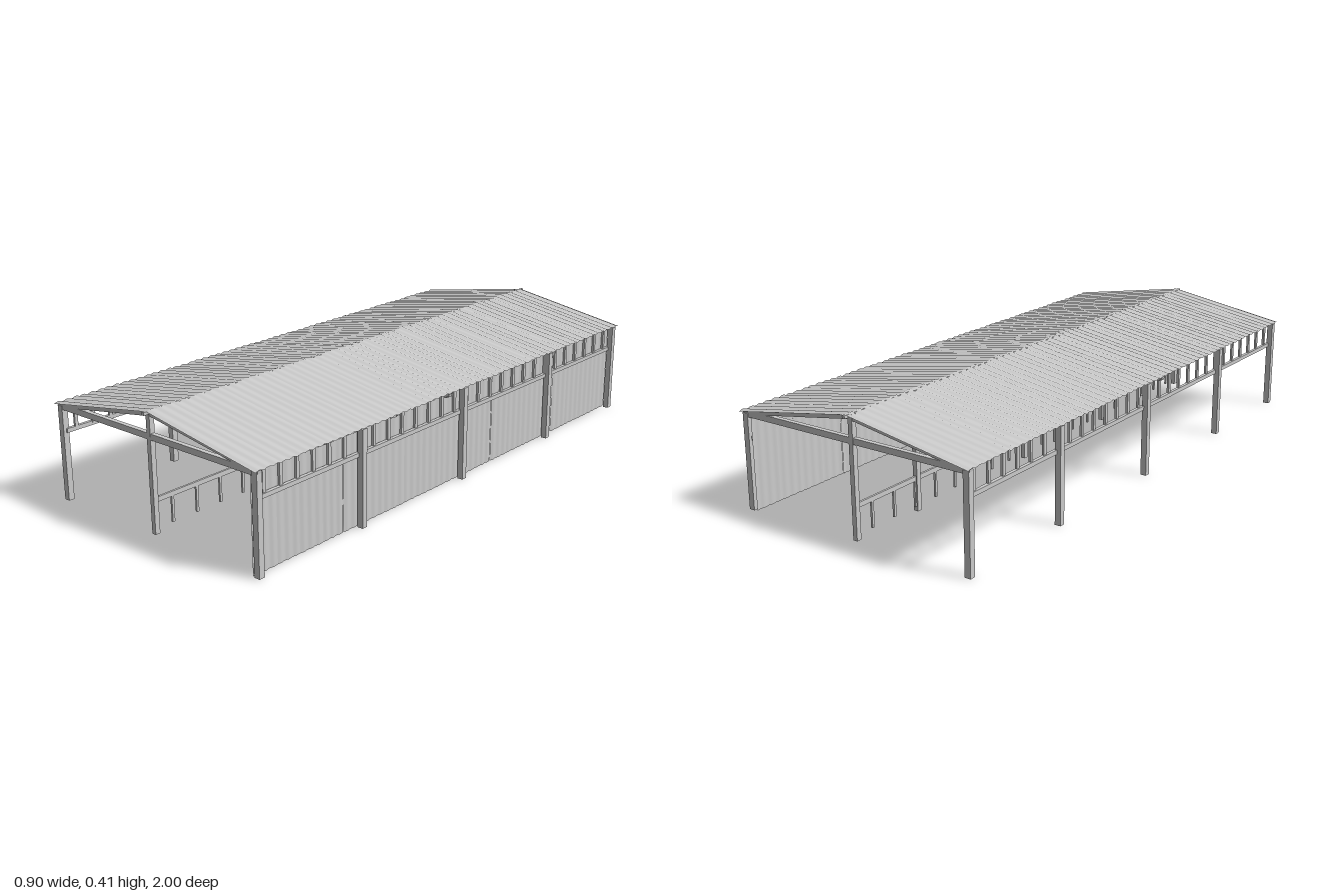
import * as THREE from 'three';

const material = new THREE.MeshStandardMaterial({ color: 0xcccccc, flatShading: true });
const sheetMaterial = new THREE.MeshStandardMaterial({ color: 0xcccccc, side: THREE.DoubleSide });

// Small repeatable number in -1..1 for uneven sheets
const vary = (i) => {
  const s = Math.sin(i * 12.9898 + 4.1) * 43758.5453;
  return (s - Math.floor(s)) * 2 - 1;
};

function box(parent, name, w, h, d, x, y, z) {
  const mesh = new THREE.Mesh(new THREE.BoxGeometry(w, h, d), material);
  mesh.name = name;
  mesh.position.set(x, y, z);
  parent.add(mesh);
  return mesh;
}

// Square timber between two points of one x-y plane
function timber(parent, name, [x0, y0], [x1, y1], z, height, depth) {
  const mesh = box(parent, name, Math.hypot(x1 - x0, y1 - y0), height, depth, (x0 + x1) / 2, (y0 + y1) / 2, z);
  mesh.rotation.z = Math.atan2(y1 - y0, x1 - x0);
  return mesh;
}

// Corrugated sheet: length along x, width along z, waves in y
function sheet(name, length, width, waves, depth) {
  const geometry = new THREE.PlaneGeometry(length, width, 1, waves * 8);
  geometry.rotateX(-Math.PI / 2);
  const p = geometry.attributes.position;
  for (let i = 0; i < p.count; i++) {
    p.setY(i, depth * Math.cos((p.getZ(i) / width) * waves * Math.PI * 2));
  }
  geometry.computeVertexNormals();
  const mesh = new THREE.Mesh(geometry, sheetMaterial);
  mesh.name = name;
  return mesh;
}

const EAVE = 0.33, RIDGE = 0.405, HALF = 0.45;
const SLOPE = Math.atan2(RIDGE - EAVE, HALF);
const roofY = (x) => RIDGE - Math.abs(x) * Math.tan(SLOPE);

export function createModel() {
  const model = new THREE.Group();
  model.name = 'openShed';

  // Roof: a row of overlapping sheets on either slope
  const roof = new THREE.Group();
  roof.name = 'roof';
  const sheets = 20, pitch = 1.975 / sheets;
  for (const side of [-1, 1]) {
    for (let i = 0; i < sheets; i++) {
      const s = sheet('roofSheet', HALF / Math.cos(SLOPE) + 0.002, pitch + 0.006, 3, 0.002);
      const x = side * HALF / 2;
      s.position.set(x, roofY(x) + 0.001 + 0.001 * (i % 2), -0.9875 + pitch * (i + 0.5));
      s.rotation.set(0, 0.004 * vary(i + side * 31), -side * SLOPE);
      roof.add(s);
    }
  }
  box(roof, 'ridgePole', 0.01, 0.01, 2, -0.003, RIDGE - 0.005, 0);
  model.add(roof);

  // Outer posts and rails on both long sides
  const frame = new THREE.Group();
  frame.name = 'frame';
  const postZ = [-0.97, -0.52, 0, 0.52, 0.97];
  for (const side of [-1, 1]) {
    for (const z of postZ) box(frame, 'sidePost', 0.021, 0.325, 0.021, side * 0.434, 0.1625, z);
    box(frame, 'sideRail', 0.012, 0.014, 1.94, side * 0.424, 0.24, 0);
    // Short studs between the rail and the eave
    for (let i = 0; i < 28; i++) {
      box(frame, 'shortStud', 0.008, 0.085, 0.012, side * 0.421, 0.284, -0.93 + i * 0.069);
    }
  }

  // Centre posts
  for (const z of [-0.97, -0.69, -0.11, 0.09, 0.4, 0.97]) {
    box(frame, 'centrePost', 0.016, 0.4, 0.018, -0.008, 0.205, z);
  }
  // Low centre rail with hanging bars
  box(frame, 'centreRail', 0.008, 0.016, 1.94, -0.008, 0.115, 0);
  for (let i = 0; i < 19; i++) {
    box(frame, 'hangingBar', 0.007, 0.09, 0.009, -0.008, 0.066, -0.9 + i * 0.1);
  }
  model.add(frame);

  // Trusses at both ends and in the middle
  for (const z of [-0.97, 0.09, 0.97]) {
    const truss = new THREE.Group();
    truss.name = 'truss';
    box(truss, 'tieBeam', 0.87, 0.02, 0.016, 0, 0.322, z);
    for (const side of [-1, 1]) {
      timber(truss, 'rafter', [side * 0.445, EAVE - 0.007], [0, RIDGE - 0.01], z, 0.014, 0.016);
    }
    if (z === 0.09) {
      box(truss, 'collarBeam', 0.48, 0.007, 0.01, 0, 0.36, z);
      for (const x of [-0.08, -0.043, 0.041, 0.077]) {
        const top = roofY(x) - 0.008;
        box(truss, 'trussStud', 0.01, top - 0.33, 0.01, x, (top + 0.33) / 2, z);
      }
    }
    model.add(truss);
  }

  // Sheet wall along the left side, with uneven tops and narrow gaps
  const wall = new THREE.Group();
  wall.name = 'sideWall';
  const panels = 20, step = 1.95 / panels;
  for (let i = 0; i < panels; i++) {
    const height = 0.315 + 0.006 * vary(i + 7);
    const gap = [4, 8, 16].includes(i) ? -0.006 : 0.004;
    const s = sheet('wallSheet', height, step + gap, 3, 0.0015);
    s.rotation.z = -Math.PI / 2;
    s.position.set(0.415 + 0.001 * (i % 2), height / 2, -0.975 + step * (i + 0.5));
    wall.add(s);
  }
  model.add(wall);

  return model;
}
